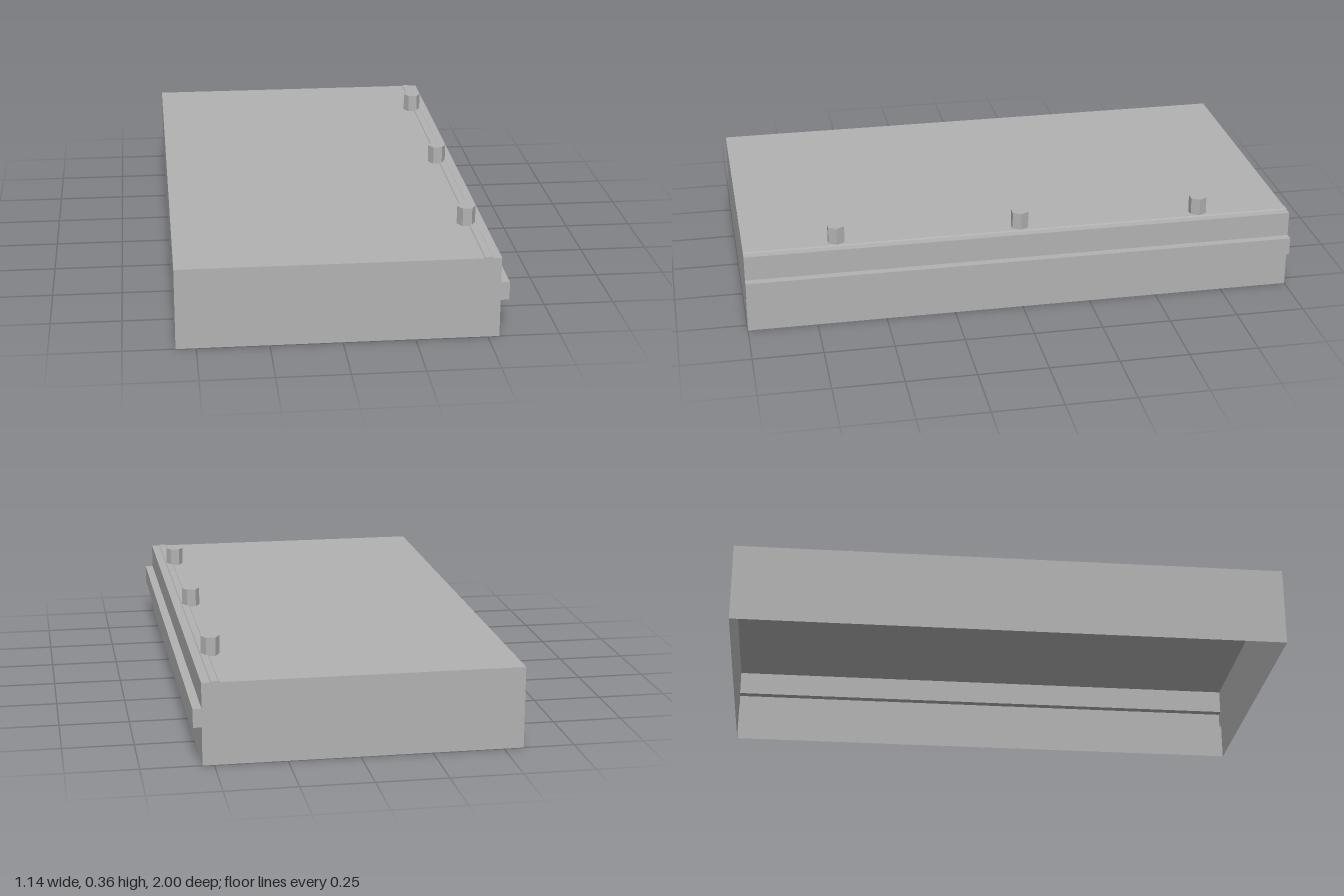
import * as THREE from 'three';

const LENGTH = 2;

// Extrude an x/y outline along z, centred on z = 0
function extrudeAlongZ(points) {
  const shape = new THREE.Shape(points.map(([x, y]) => new THREE.Vector2(x, y)));
  const geo = new THREE.ExtrudeGeometry(shape, { depth: LENGTH, bevelEnabled: false });
  return geo.translate(0, 0, -LENGTH / 2);
}

// Drop the triangles lying on y = 0, leaving a hollow shell open below
function openBottom(geo) {
  const p = geo.attributes.position;
  const kept = [];
  for (let i = 0; i < p.count; i += 3) {
    const corners = [i, i + 1, i + 2];
    if (corners.every((k) => Math.abs(p.getY(k)) < 1e-6)) continue;
    for (const k of corners) kept.push(p.getX(k), p.getY(k), p.getZ(k));
  }
  const out = new THREE.BufferGeometry();
  out.setAttribute('position', new THREE.Float32BufferAttribute(kept, 3));
  out.computeVertexNormals();
  return out;
}

export function createModel() {
  const model = new THREE.Group();
  model.name = 'panelTray';

  const grey = new THREE.MeshStandardMaterial({
    color: 0xb2b2b2, flatShading: true, side: THREE.DoubleSide,
  });
  grey.name = 'plainGrey';

  const add = (name, geo) => {
    const mesh = new THREE.Mesh(geo, grey);
    mesh.name = name;
    model.add(mesh);
    return mesh;
  };

  // Thin-walled tray with a rail along its left side
  add('shell', openBottom(extrudeAlongZ([
    [-0.57, 0], [0.54, 0], [0.54, 0.135], [0.57, 0.135],
    [0.57, 0.2], [0.54, 0.2], [0.54, 0.29], [-0.57, 0.29],
  ])));

  // Low ridge running along the top beside the pegs
  add('ridge', extrudeAlongZ([
    [0.48, 0.29], [0.51, 0.29], [0.507, 0.294], [0.483, 0.294],
  ]));

  // Three hexagonal pegs
  for (const z of [-0.667, 0, 0.667]) {
    const peg = new THREE.CylinderGeometry(0.033, 0.033, 0.066, 6).rotateY(Math.PI / 2);
    add('peg', peg).position.set(0.473, 0.323, z);
  }

  return model;
}
